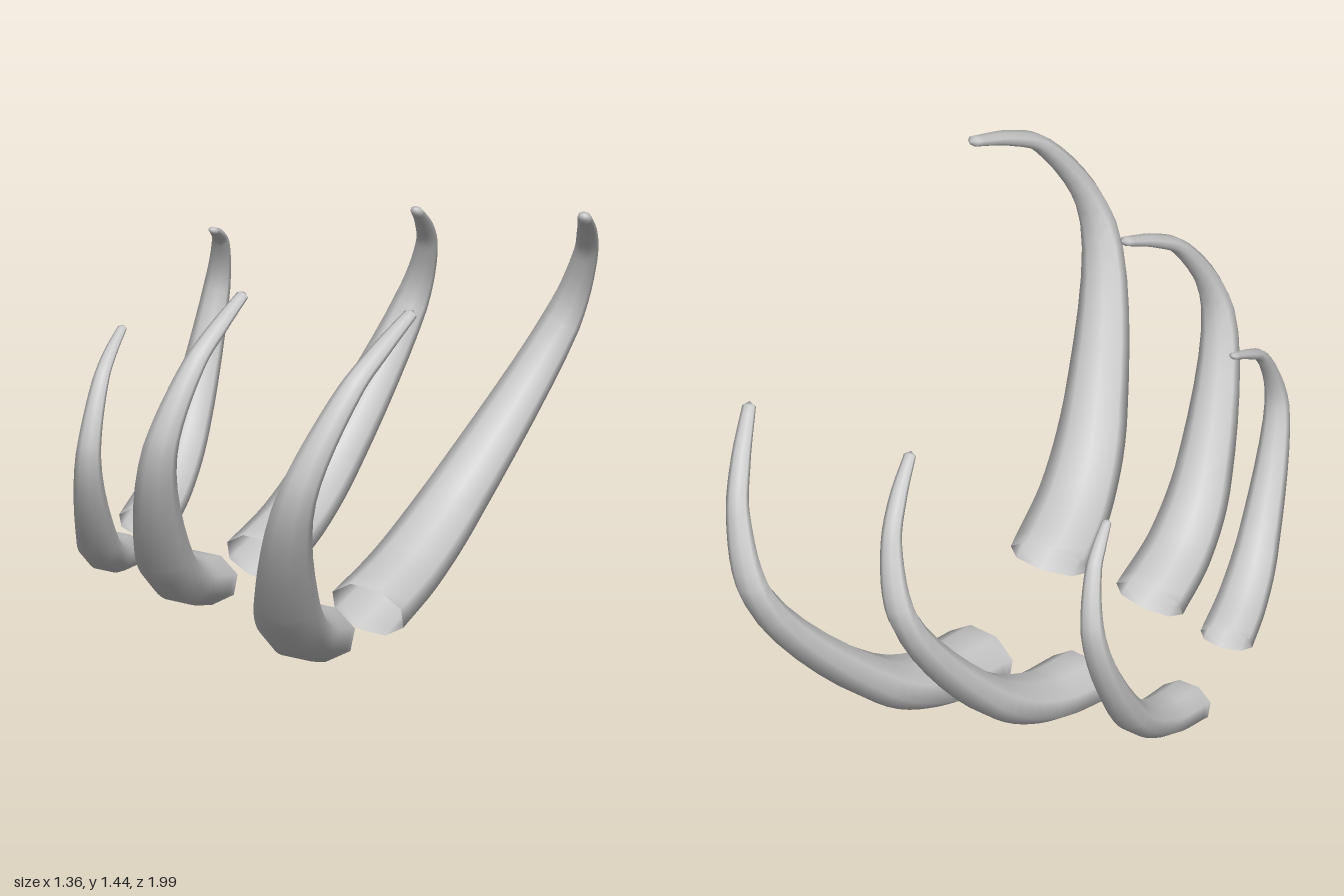
import * as THREE from 'three';

const SIDES = 8, STEPS = 36;
const FLATNESS = 0.7; // thickness relative to width

// width of a rib along its length, as a share of its root width
const taper = new THREE.CatmullRomCurve3(
  [1, 0.93, 0.8, 0.48, 0.31, 0.25, 0.17].map((r, i) => new THREE.Vector3(i, r, 0)));

// flattened eight-sided tube swept along the curve, open at the root
function ribGeometry(curve, width) {
  const pos = [], index = [];
  for (let i = 0; i <= STEPS; i++) {
    const u = i / STEPS, c = curve.getPoint(u), t = curve.getTangent(u);
    const across = new THREE.Vector3(1, 0, 0).addScaledVector(t, -t.x).normalize();
    const depth = new THREE.Vector3().crossVectors(t, across);
    const w = width * taper.getPoint(u).y * 1.05;
    for (let j = 0; j < SIDES; j++) {
      const a = (j + 0.5) / SIDES * Math.PI * 2;
      pos.push(...c.clone().addScaledVector(across, w * Math.cos(a))
        .addScaledVector(depth, w * FLATNESS * Math.sin(a)).toArray());
    }
  }
  for (let i = 0; i < STEPS; i++) for (let j = 0; j < SIDES; j++) {
    const a = i * SIDES + j, b = i * SIDES + (j + 1) % SIDES;
    index.push(a, b, b + SIDES, a, b + SIDES, a + SIDES);
  }
  // blunt tip
  const tip = pos.length / 3, last = STEPS * SIDES;
  pos.push(...curve.getPoint(1).addScaledVector(curve.getTangent(1), width * 0.12).toArray());
  for (let j = 0; j < SIDES; j++) index.push(last + j, last + (j + 1) % SIDES, tip);

  const g = new THREE.BufferGeometry();
  g.setAttribute('position', new THREE.Float32BufferAttribute(pos, 3));
  g.setIndex(index);
  g.computeVertexNormals();
  return g;
}

export function createModel() {
  const group = new THREE.Group();
  group.name = 'ribs';
  const material = new THREE.MeshStandardMaterial({ color: 0xcccccc, side: THREE.DoubleSide });
  const v = (x, y, z) => new THREE.Vector3(x, y, z);

  // half width at the root, then the centre line from root to tip
  const addRib = (name, width, ...points) => {
    const mesh = new THREE.Mesh(ribGeometry(new THREE.CatmullRomCurve3(points), width), material);
    mesh.name = name;
    group.add(mesh);
  };

  // front row
  addRib('frontLargeRib', 0.124, v(0.205, 0.187, 0.323), v(0.253, 0.287, 0.53), v(0.325, 0.48, 0.725),
    v(0.485, 0.955, 0.957), v(0.595, 1.275, 0.826), v(0.63, 1.365, 0.7), v(0.655, 1.433, 0.55));
  addRib('frontMiddleRib', 0.112, v(-0.21, 0.255, 0.268), v(-0.19, 0.333, 0.45), v(-0.155, 0.495, 0.62),
    v(-0.052, 0.94, 0.835), v(0.01, 1.2, 0.735), v(0.035, 1.283, 0.63), v(0.054, 1.348, 0.505));
  addRib('frontSmallRib', 0.082, v(-0.523, 0.263, 0.233), v(-0.485, 0.318, 0.37), v(-0.44, 0.43, 0.51),
    v(-0.367, 0.8, 0.707), v(-0.367, 1.02, 0.63), v(-0.375, 1.08, 0.555), v(-0.38, 1.13, 0.465));

  // back row
  addRib('backLargeRib', 0.124, v(0.168, 0.087, -0.085), v(0.178, 0.14, -0.313), v(0.21, 0.28, -0.57),
    v(0.37, 0.745, -0.948), v(0.465, 0.99, -0.92), v(0.52, 1.12, -0.832), v(0.577, 1.232, -0.71));
  addRib('backMiddleRib', 0.11, v(-0.21, 0.175, -0.09), v(-0.2, 0.225, -0.3), v(-0.175, 0.37, -0.53),
    v(-0.07, 0.77, -0.805), v(0.005, 0.99, -0.764), v(0.04, 1.104, -0.682), v(0.068, 1.194, -0.582));
  addRib('backSmallRib', 0.085, v(-0.577, 0.225, -0.05), v(-0.597, 0.28, -0.227), v(-0.617, 0.415, -0.4),
    v(-0.61, 0.8, -0.57), v(-0.563, 0.987, -0.505), v(-0.543, 1.04, -0.447), v(-0.523, 1.081, -0.382));
  return group;
}
